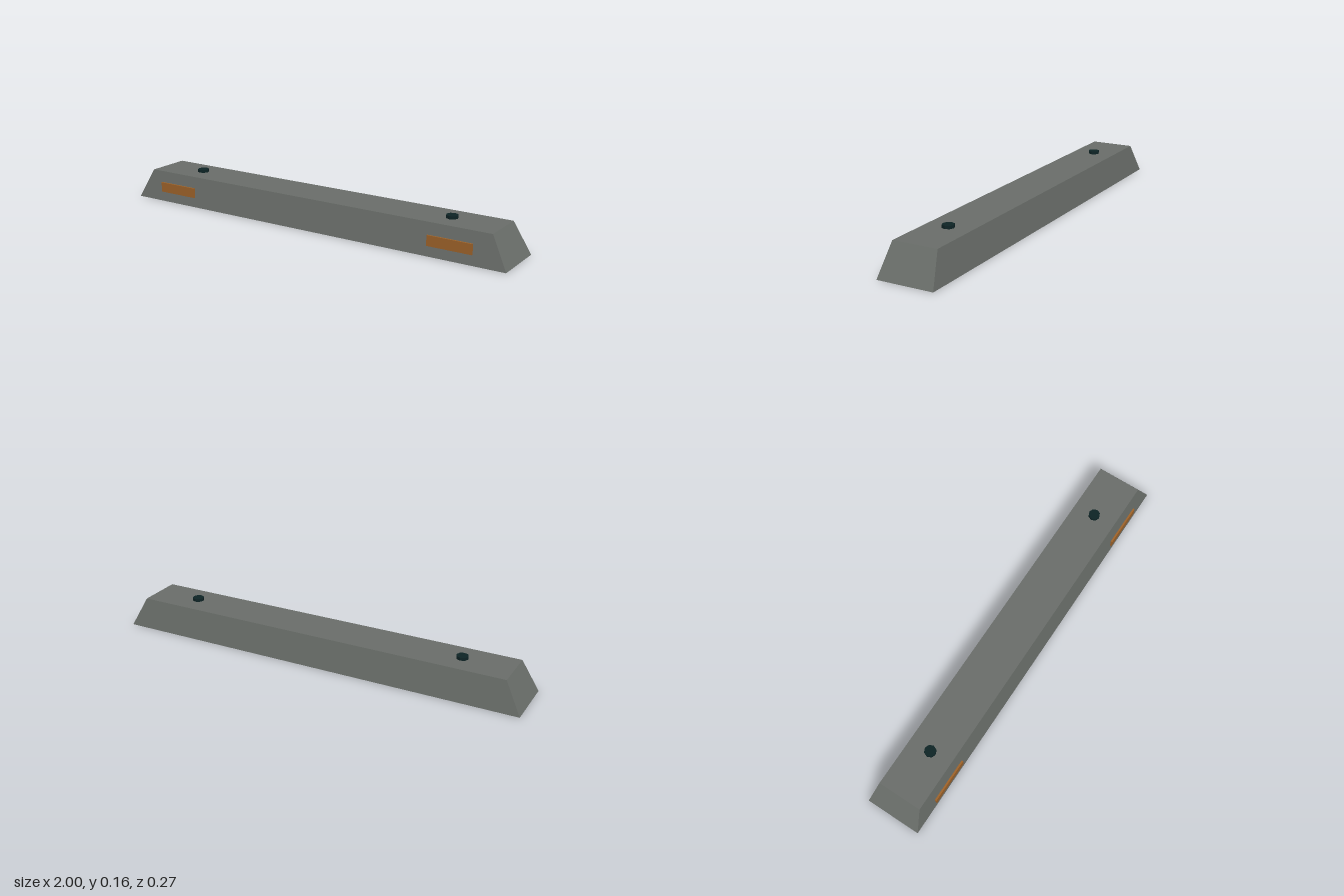
import * as THREE from 'three';

export function createModel() {
  const concrete = new THREE.MeshStandardMaterial({ color: 0x6a6e6a });
  concrete.name = 'concrete grey';
  const amber = new THREE.MeshStandardMaterial({ color: 0xa0642a });
  amber.name = 'reflector amber';
  const steel = new THREE.MeshStandardMaterial({ color: 0x0e2426, flatShading: true });
  steel.name = 'dark bolt';

  const model = new THREE.Group();
  model.name = 'parkingStop';
  const add = (name, geometry, material, x, y, z) => {
    const mesh = new THREE.Mesh(geometry, material);
    mesh.name = name;
    mesh.position.set(x, y, z);
    model.add(mesh);
  };

  // Block: a box whose top face is drawn inwards
  const height = 0.145;
  const block = new THREE.BoxGeometry(2, height, 0.266);
  const p = block.attributes.position;
  for (let i = 0; i < p.count; i++) {
    if (p.getY(i) > 0) {
      p.setX(i, p.getX(i) * 0.923);
      p.setZ(i, p.getZ(i) * 0.797);
    }
  }
  block.computeVertexNormals();
  add('block', block, concrete, 0, height / 2, -0.001);

  // Reflector plates stand just clear of the sloping front; bolt heads sit on top
  const plate = new THREE.BoxGeometry(0.21, 0.048, 0.008);
  const bolt = new THREE.CylinderGeometry(0.0275, 0.0275, 0.02, 8);
  for (const [side, s] of [['left', 1], ['right', -1]]) {
    add(side + 'Reflector', plate, amber, s * 0.743, 0.072, 0.132);
    add(side + 'Bolt', bolt, steel, s * 0.688, 0.149, -0.001);
  }
  return model;
}
